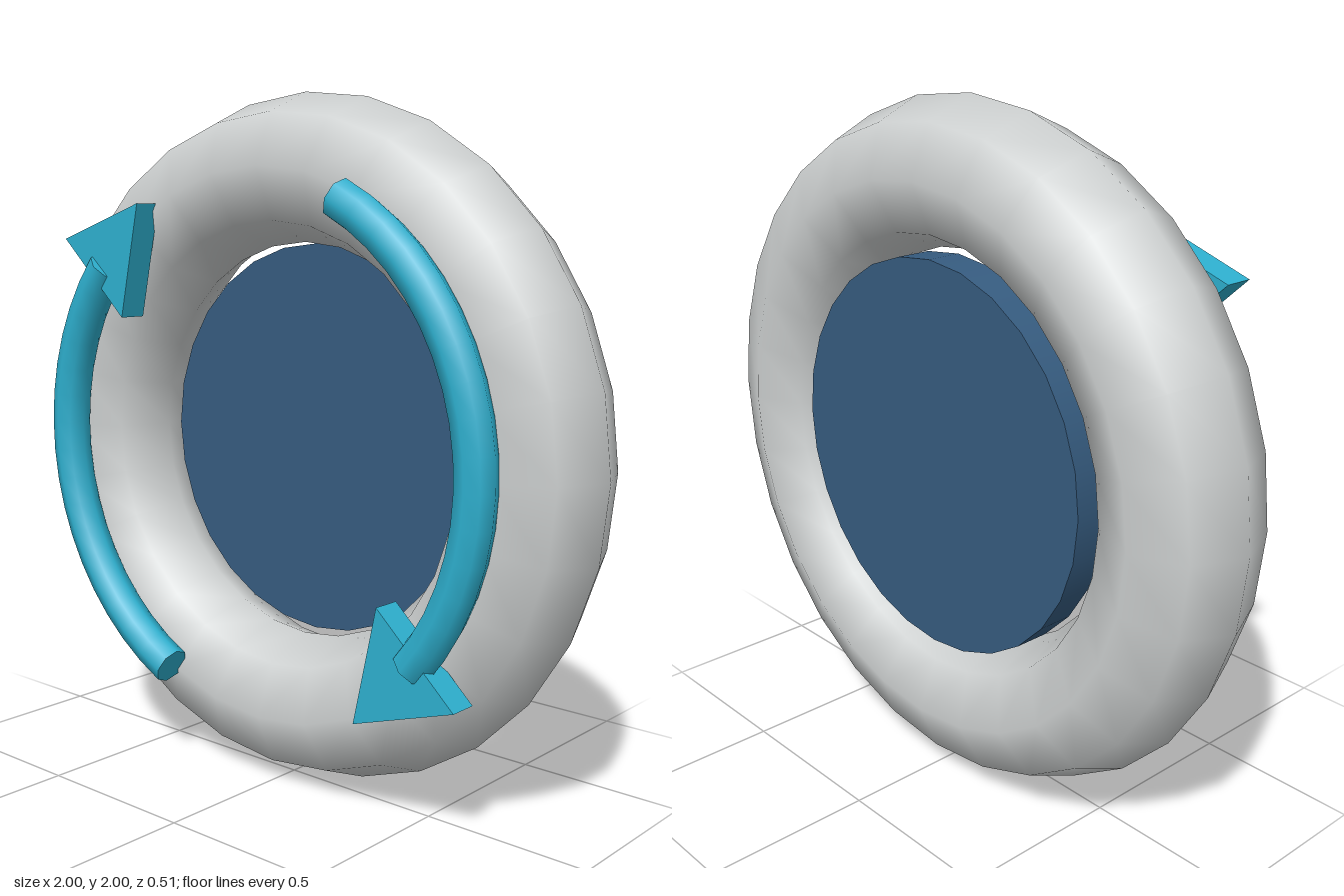
import * as THREE from 'three';

const ringMat = new THREE.MeshStandardMaterial({ name: 'light grey', color: 0xcdd0d0 });
const discMat = new THREE.MeshStandardMaterial({ name: 'navy blue', color: 0x365c80 });
const arrowMat = new THREE.MeshStandardMaterial({ name: 'teal', color: 0x2eb0cf });

function part(name, geometry, material) {
  const mesh = new THREE.Mesh(geometry, material);
  mesh.name = name;
  return mesh;
}

// One curved arrow running clockwise around the origin
function makeArrow(name) {
  const arrow = new THREE.Group();
  arrow.name = name;
  const R = 0.768, r = 0.057, z = 0.195;
  const from = THREE.MathUtils.degToRad(-41), to = THREE.MathUtils.degToRad(65);

  // Curved shaft
  const shaft = new THREE.TorusGeometry(R, r, 8, 16, to - from);
  shaft.rotateZ(from).translate(0, 0, z);
  arrow.add(part('arrowShaft', shaft, arrowMat));

  // Flat ends of the shaft
  for (const [angle, tilt] of [[from, Math.PI / 2], [to, -Math.PI / 2]]) {
    const cap = new THREE.CircleGeometry(r, 8);
    cap.rotateX(tilt).translate(R, 0, 0).rotateZ(angle).translate(0, 0, z);
    arrow.add(part('arrowShaftEnd', cap, arrowMat));
  }

  // Triangular head
  const triangle = new THREE.Shape([
    new THREE.Vector2(0.485, -0.355),
    new THREE.Vector2(0.41, -0.69),
    new THREE.Vector2(0.735, -0.585),
  ]);
  const head = new THREE.ExtrudeGeometry(triangle, { depth: 0.085, bevelEnabled: false });
  head.translate(0, 0, 0.142);
  arrow.add(part('arrowHead', head, arrowMat));
  return arrow;
}

export function createModel() {
  const model = new THREE.Group();
  model.name = 'ringWithArrows';

  // Outer ring
  const ring = part('ring', new THREE.TorusGeometry(0.79, 0.21, 8, 28), ringMat);
  ring.position.set(0, 1, -0.05);
  model.add(ring);

  // Centre disc, set towards the back of the ring
  const disc = part('centreDisc', new THREE.CylinderGeometry(0.575, 0.575, 0.105, 28).rotateX(Math.PI / 2), discMat);
  disc.position.set(0, 1, -0.15);
  model.add(disc);

  // Two arrows, half a turn apart
  ['leftArrow', 'rightArrow'].forEach((name, i) => {
    const arrow = makeArrow(name);
    arrow.position.y = 1;
    arrow.rotation.z = i * Math.PI;
    model.add(arrow);
  });

  return model;
}
